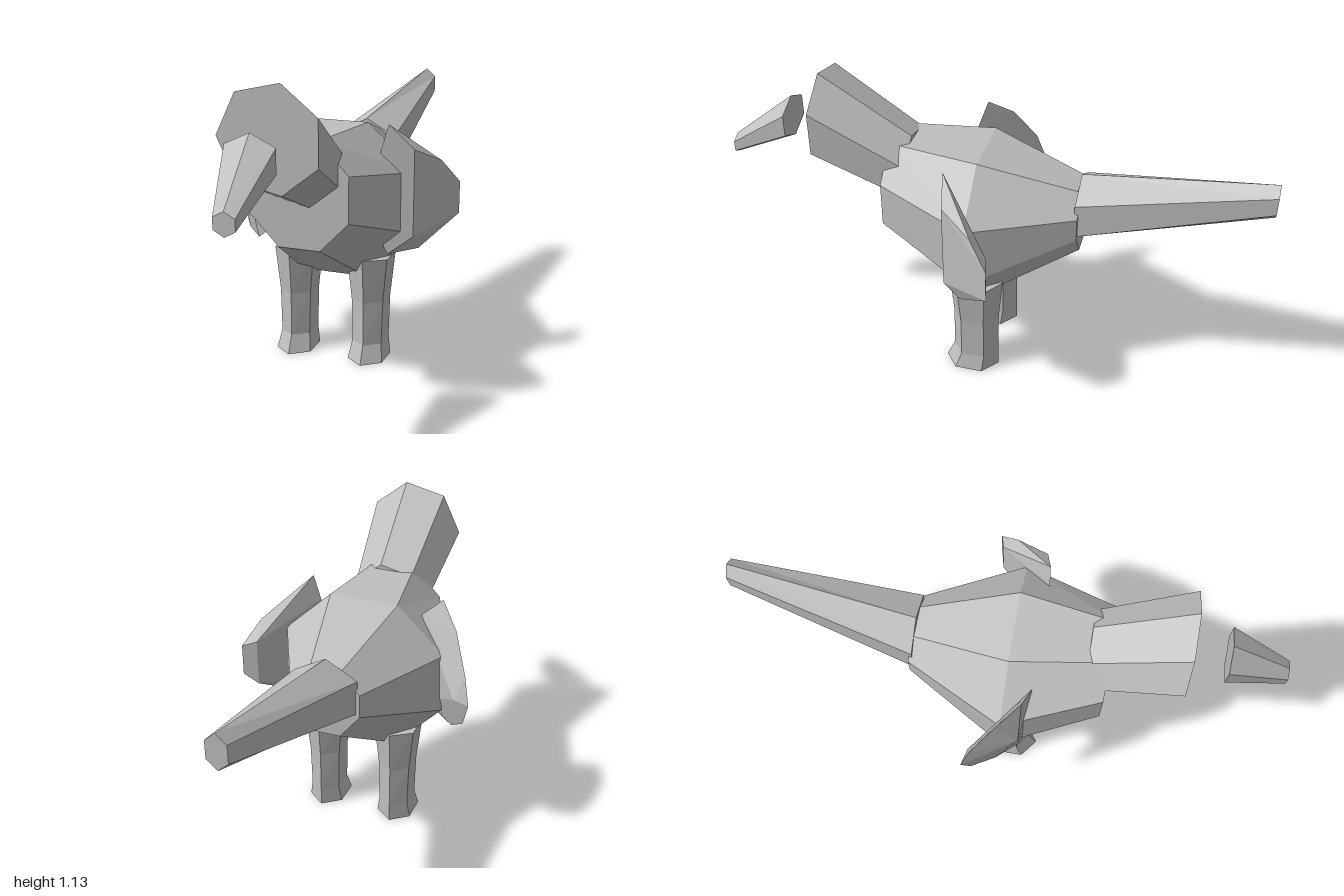
import * as THREE from 'three';
import { ConvexGeometry } from 'three/addons/geometries/ConvexGeometry.js';

// Closed loft through rings of points; rings run counter-clockwise along the path.
function loft(rings) {
  const pos = [];
  const tri = (a, b, c) => pos.push(...a, ...b, ...c);
  const n = rings[0].length;
  for (let r = 0; r < rings.length - 1; r++) {
    const a = rings[r], b = rings[r + 1];
    for (let i = 0; i < n; i++) {
      const j = (i + 1) % n;
      tri(a[i], a[j], b[j]);
      tri(a[i], b[j], b[i]);
    }
  }
  const first = rings[0], last = rings[rings.length - 1];
  for (let i = 1; i < n - 1; i++) {
    tri(first[0], first[i + 1], first[i]);
    tri(last[0], last[i], last[i + 1]);
  }
  const g = new THREE.BufferGeometry();
  g.setAttribute('position', new THREE.Float32BufferAttribute(pos, 3));
  g.computeVertexNormals();
  return g;
}

// Regular polygon ring facing z
function ringZ(sides, start, x, y, z, rx, ry) {
  return Array.from({ length: sides }, (_, i) => {
    const a = start + (i / sides) * Math.PI * 2;
    return [x + rx * Math.cos(a), y + ry * Math.sin(a), z];
  });
}

// Hexagon ring facing y, with corners at the front and back
function ringY(x, y, z, rx, rz) {
  return Array.from({ length: 6 }, (_, i) => {
    const a = Math.PI / 2 + (i / 6) * Math.PI * 2;
    return [x + rx * Math.cos(a), y, z - rz * Math.sin(a)];
  });
}

// Chamfered box ring facing z: flat half width, full half width, four heights
function bodyRing(z, flat, wide, bottom, low, high, top) {
  return [
    [flat, bottom, z], [wide, low, z], [wide, high, z], [flat, top, z],
    [-flat, top, z], [-wide, high, z], [-wide, low, z], [-flat, bottom, z],
  ];
}

export function createModel() {
  const group = new THREE.Group();
  const grey = new THREE.MeshStandardMaterial({ color: 0xbfbfbf, flatShading: true });
  grey.name = 'plain grey';
  const add = (name, geometry) => {
    const mesh = new THREE.Mesh(geometry, grey);
    mesh.name = name;
    group.add(mesh);
  };

  // Faceted body, back to front
  add('body', loft([
    bodyRing(-0.335, 0.055, 0.13, 0.545, 0.64, 0.727, 0.797),
    bodyRing(0.03, 0.13, 0.312, 0.31, 0.5, 0.73, 0.9),
    bodyRing(0.375, 0.077, 0.183, 0.51, 0.62, 0.785, 0.9),
  ]));

  // Seven-sided neck, widening forward
  add('neck', loft([
    ringZ(7, Math.PI, 0.003, 0.775, 0.3, 0.147, 0.147),
    ringZ(7, Math.PI, 0.013, 0.953, 0.635, 0.185, 0.185),
  ]));

  // Six-sided beak, floating ahead of the neck
  add('beak', loft([
    ringZ(6, Math.PI / 2, 0.012, 0.921, 0.77, 0.1, 0.082),
    ringZ(6, Math.PI / 2, 0.036, 0.784, 1, 0.042, 0.039),
  ]));

  // Six-sided tail, tapering backward
  add('tail', loft([
    ringZ(6, Math.PI / 2, 0.048, 0.875, -1, 0.043, 0.066),
    ringZ(6, Math.PI / 2, 0, 0.709, -0.322, 0.135, 0.129),
  ]));

  // Legs with slightly flared feet
  for (const [name, x] of [['rightLeg', -0.143], ['leftLeg', 0.147]]) {
    add(name, loft([
      ringY(x, 0, 0.048, 0.078, 0.105),
      ringY(x, 0.068, 0.033, 0.066, 0.089),
      ringY(x, 0.235, 0.032, 0.071, 0.088),
      ringY(x, 0.405, 0.033, 0.09, 0.104),
    ]));
  }

  // Thin angled wings, each a small faceted hull
  const hull = (points) => new ConvexGeometry(points.map((p) => new THREE.Vector3(...p)));
  add('leftWing', hull([
    [0.237, 0.918, 0.12], [0.237, 0.44, 0.12], [0.21, 0.82, 0.125], [0.21, 0.5, 0.125],
    [0.327, 0.83, 0.1], [0.327, 0.51, 0.1],
    [0.395, 0.77, -0.02], [0.445, 0.68, -0.09], [0.445, 0.56, -0.09],
    [0.33, 0.45, 0.04], [0.39, 0.7, -0.075], [0.39, 0.52, -0.075],
  ]));
  add('rightWing', hull([
    [-0.28, 0.918, 0.1], [-0.357, 0.845, 0.02], [-0.42, 0.715, -0.06], [-0.445, 0.615, -0.09],
    [-0.42, 0.52, -0.06], [-0.355, 0.45, 0.02], [-0.28, 0.44, 0.1], [-0.22, 0.49, 0.12],
    [-0.192, 0.83, 0.125], [-0.34, 0.68, 0.1], [-0.385, 0.62, -0.075],
  ]));

  return group;
}
